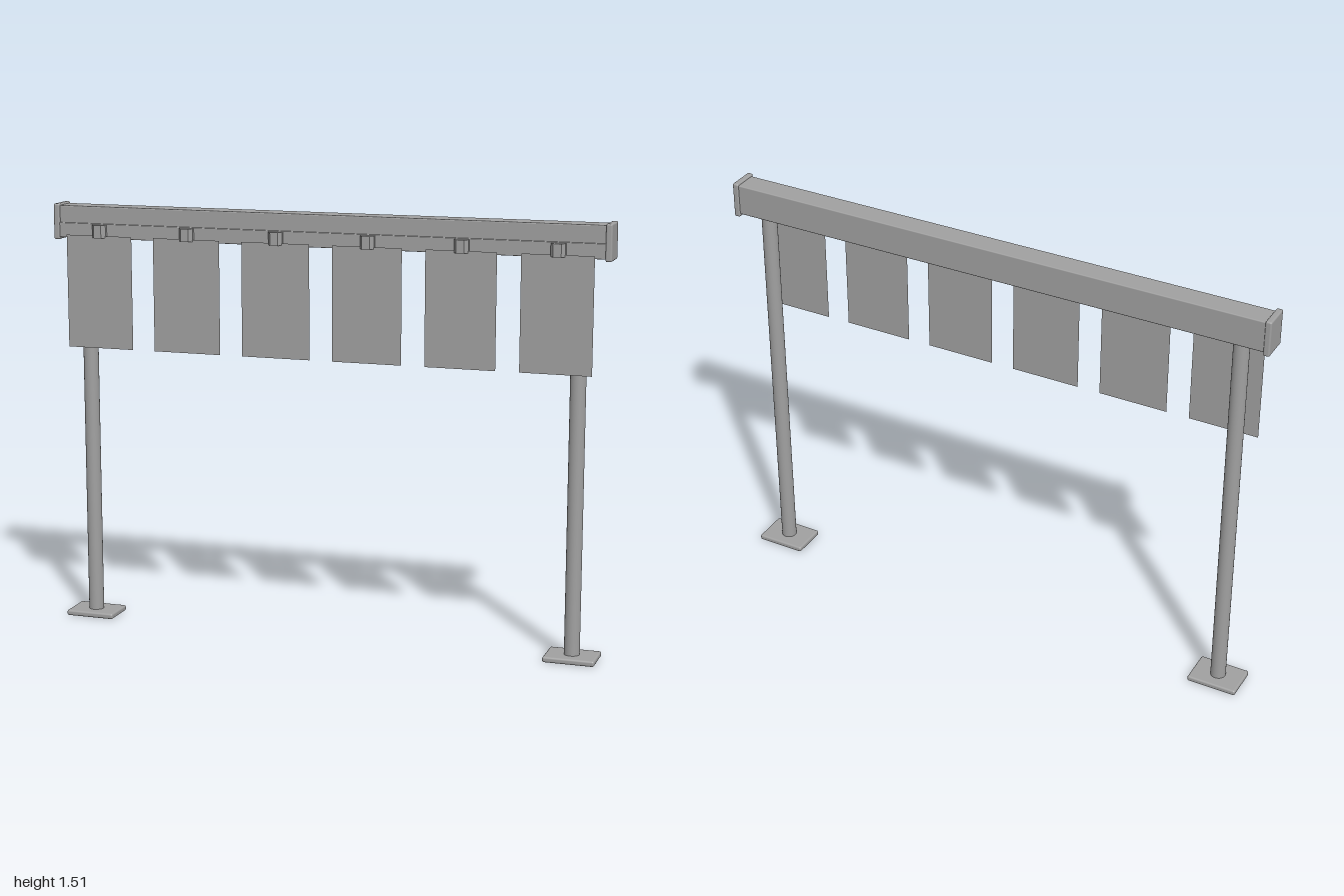
import * as THREE from 'three';
import { RoundedBoxGeometry } from 'three/addons/geometries/RoundedBoxGeometry.js';

export function createModel() {
  const model = new THREE.Group();
  model.name = 'bannerStand';
  const grey = new THREE.MeshStandardMaterial({ color: 0xa0a0a0 });
  grey.name = 'grey';
  const sheetGrey = grey.clone();
  sheetGrey.name = 'sheetGrey';
  sheetGrey.side = THREE.DoubleSide;
  const zc = -0.003; // centre line of posts and beam

  const add = (name, geometry, x, y, z, material = grey) => {
    const mesh = new THREE.Mesh(geometry, material);
    mesh.name = name;
    mesh.position.set(x, y, z);
    model.add(mesh);
    return mesh;
  };

  // Box given by its lower and upper corner in y and z, centred on x
  const bar = (name, width, y0, y1, z0, z1, r) =>
    add(name, new RoundedBoxGeometry(width, y1 - y0, z1 - z0, 2, r), 0, (y0 + y1) / 2, (z0 + z1) / 2);

  // Head beam with a slightly proud rail along the lower front
  bar('beam', 1.97, 1.39, 1.5, -0.047, 0.037, 0.004);
  bar('frontRail', 1.96, 1.388, 1.44, 0.02, 0.042, 0.002);

  // Posts, base plates and end caps
  const post = new THREE.CylinderGeometry(0.027, 0.027, 1.38, 32);
  const base = new RoundedBoxGeometry(0.18, 0.02, 0.13, 3, 0.007);
  const cap = new RoundedBoxGeometry(0.022, 0.126, 0.098, 3, 0.006);
  for (const side of [-1, 1]) {
    const label = side > 0 ? 'left' : 'right';
    add(label + 'Post', post, side * 0.888, 0.705, zc);
    add(label + 'Base', base, side * 0.888, 0.01, zc);
    add(label + 'EndCap', cap, side * 0.989, 1.443, zc);
  }

  // Tapered clip profile, seen from above and extruded upwards
  const profile = new THREE.Shape([
    [-0.025, -0.036], [0.025, -0.036], [0.025, -0.054],
    [0.014, -0.069], [-0.014, -0.069], [-0.025, -0.054],
  ].reverse().map(([x, y]) => new THREE.Vector2(x, y)));
  const clip = new THREE.ExtrudeGeometry(profile, { depth: 0.045, bevelEnabled: false });
  clip.rotateX(-Math.PI / 2);

  // Hanging sheets, each held by one clip
  const sheet = new THREE.PlaneGeometry(0.247, 0.4);
  for (let i = 0; i < 6; i++) {
    const x = (i - 2.5) * 0.329;
    add('clip' + (i + 1), clip, x, 1.392, 0);
    add('banner' + (i + 1), sheet, x, 1.199, 0.055, sheetGrey);
  }
  return model;
}
